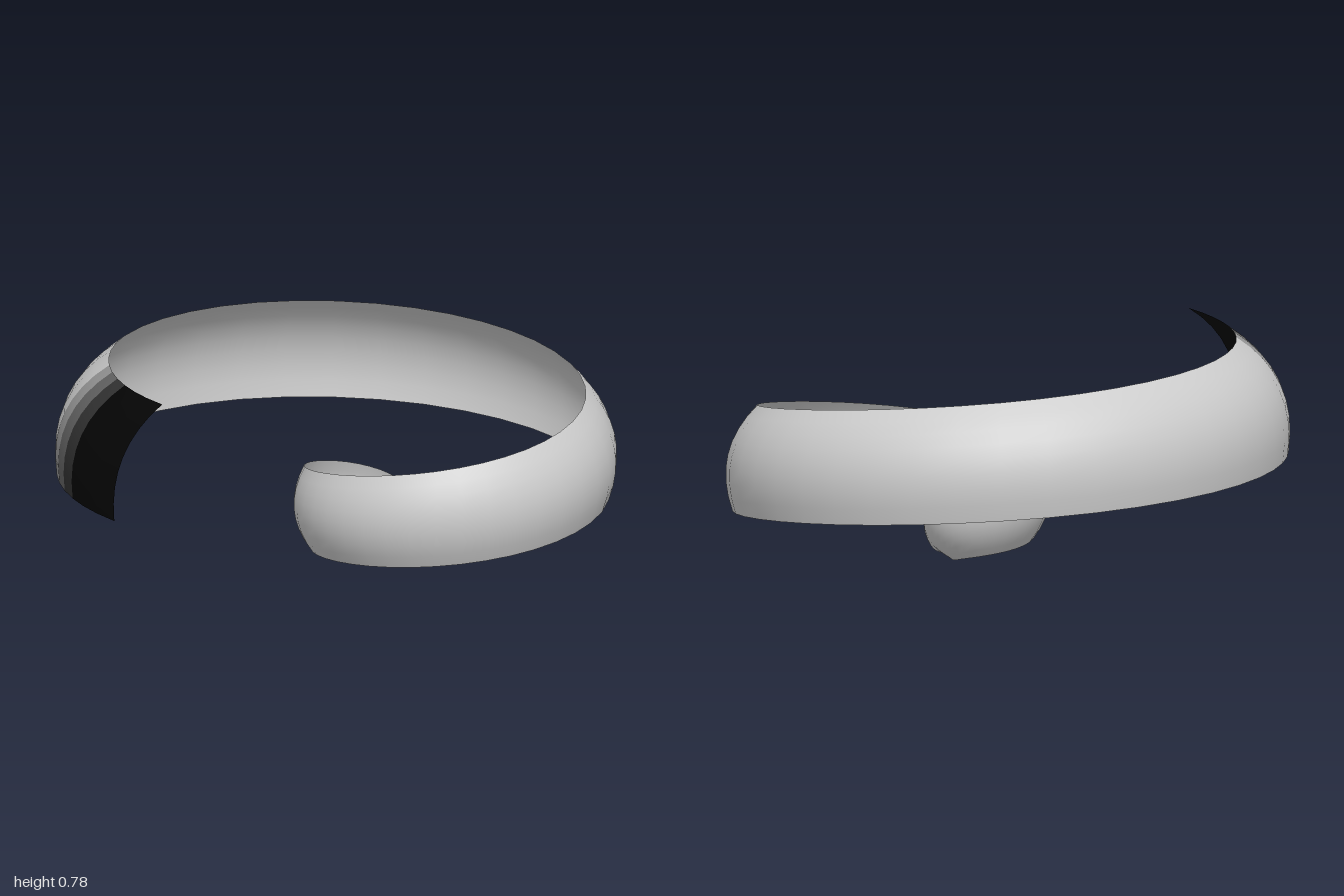
import * as THREE from 'three';

const CENTRE = { x: 0.22, z: -0.068 };
const STEPS = 10; // rows between two stations
const ACROSS = 8; // strips across the ribbon
const BULGE = 0.16; // arc height relative to its chord

// Stations along the spiral: [quarter turns, radius, lower edge inset, lower y, upper edge inset, upper y]
const STATIONS = [
  [-1.0, 0.06, 0.07, 0.025, 0.0, 0.07],
  [-0.5, 0.09, 0.1, 0.01, 0.01, 0.14],
  [0, 0.14, 0.1, 0.002, 0.015, 0.21],
  [1, 0.325, 0.07, 0.04, 0.03, 0.32],
  [2, 0.523, 0.05, 0.1, 0.06, 0.43],
  [3, 0.72, 0.03, 0.165, 0.1, 0.53],
  [4, 0.925, 0.015, 0.24, 0.14, 0.635],
  [5, 1.162, 0.008, 0.33, 0.18, 0.735],
  [5.606, 1.311, 0.0, 0.39, 0.2, 0.785],
];

const path = new THREE.CatmullRomCurve3(STATIONS.map((s) => new THREE.Vector3(s[0], s[1], 0)), false, 'catmullrom');
const lower = new THREE.CatmullRomCurve3(STATIONS.map((s) => new THREE.Vector3(-s[2], s[3], 0)), false, 'catmullrom');
const upper = new THREE.CatmullRomCurve3(STATIONS.map((s) => new THREE.Vector3(-s[4], s[5], 0)), false, 'catmullrom');

// Outermost line of the ribbon, seen from above
function spiralPoint(t) {
  const { x: quarter, y: r } = path.getPoint(t);
  const a = quarter * Math.PI / 2;
  return new THREE.Vector2(CENTRE.x - r * Math.sin(a), CENTRE.z - r * Math.cos(a));
}

// Bowed cross-section from lower to upper edge, as (outward offset, height)
function section(t) {
  const a = lower.getPoint(t), b = upper.getPoint(t);
  const dx = b.x - a.x, dy = b.y - a.y;
  const control = new THREE.Vector2((a.x + b.x) / 2 + 2 * BULGE * dy, (a.y + b.y) / 2 - 2 * BULGE * dx);
  return new THREE.QuadraticBezierCurve(new THREE.Vector2(a.x, a.y), control, new THREE.Vector2(b.x, b.y)).getPoints(ACROSS);
}

export function createModel() {
  const group = new THREE.Group();
  group.name = 'spiralRibbon';

  // Sweep the section square to the spiral
  const rows = (STATIONS.length - 1) * STEPS;
  const positions = [], index = [];
  for (let i = 0; i <= rows; i++) {
    const t = i / rows;
    const p = spiralPoint(t);
    const dir = spiralPoint(Math.min(1, t + 0.002)).sub(spiralPoint(Math.max(0, t - 0.002))).normalize();
    for (const s of section(t)) positions.push(p.x - dir.y * s.x, s.y, p.y + dir.x * s.x);
  }
  const w = ACROSS + 1;
  for (let i = 0; i < rows; i++) {
    for (let j = 0; j < ACROSS; j++) {
      const a = i * w + j, b = a + w;
      index.push(a, b, b + 1, a, b + 1, a + 1);
    }
  }
  const whole = new THREE.BufferGeometry();
  whole.setAttribute('position', new THREE.Float32BufferAttribute(positions, 3));
  whole.setIndex(index);
  whole.computeVertexNormals();

  // Lengths of the ribbon share the smooth normals and differ only in colour
  function addLength(name, from, to, color) {
    const geometry = new THREE.BufferGeometry();
    geometry.setAttribute('position', whole.attributes.position);
    geometry.setAttribute('normal', whole.attributes.normal);
    geometry.setIndex(index.slice(from * ACROSS * 6, to * ACROSS * 6));
    const mesh = new THREE.Mesh(geometry, new THREE.MeshStandardMaterial({ color, side: THREE.DoubleSide }));
    mesh.name = name;
    group.add(mesh);
  }
  addLength('ribbon', 0, rows - 6, 0xcccccc);
  [0x999999, 0x666666, 0x333333].forEach((c, k) => addLength('fadingBand' + (k + 1), rows - 6 + k, rows - 5 + k, c));
  addLength('darkTip', rows - 3, rows, 0x050505);
  return group;
}
